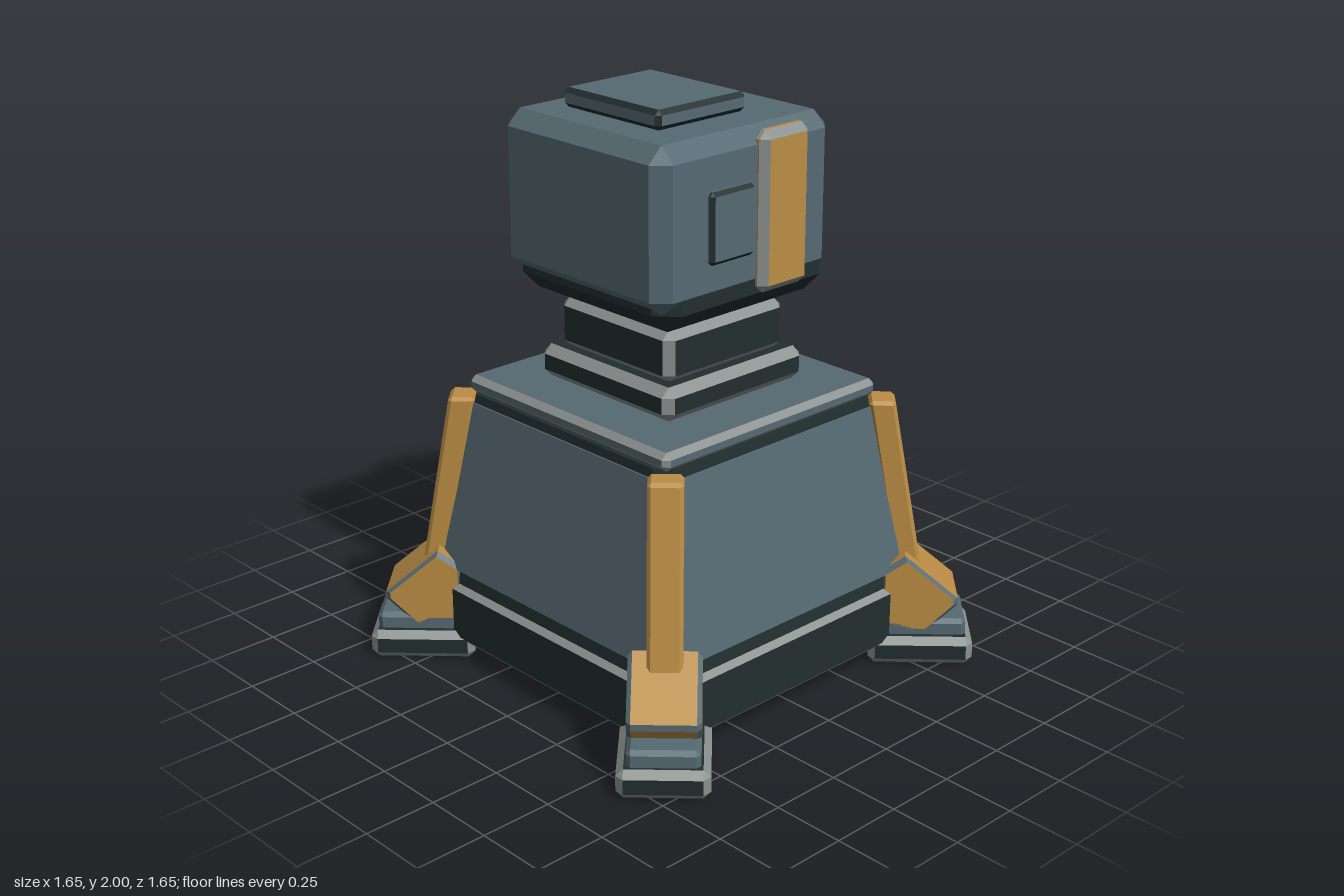
import * as THREE from 'three';
import { ConvexGeometry } from 'three/addons/geometries/ConvexGeometry.js';

const V = (x, y, z) => new THREE.Vector3(x, y, z);

function paint(name, color) {
  const m = new THREE.MeshStandardMaterial({ color });
  m.name = name;
  return m;
}

const axisAligned = n => Math.max(Math.abs(n.x), Math.abs(n.y), Math.abs(n.z)) > 0.98;

// Convex flat-sided solid; triangles whose normal passes isFace get the face colour, the rest the edge colour
function solid(name, points, face, edge = face, isFace = axisAligned) {
  const src = new ConvexGeometry(points);
  const pos = src.attributes.position, nor = src.attributes.normal;
  const lists = [[], []];
  for (let i = 0; i < pos.count; i += 3) {
    const n = V(nor.getX(i), nor.getY(i), nor.getZ(i));
    lists[isFace(n) ? 0 : 1].push(i, i + 1, i + 2);
  }
  const geo = new THREE.BufferGeometry();
  const order = lists.flat();
  const pick = a => new THREE.Float32BufferAttribute(order.flatMap(i => [a.getX(i), a.getY(i), a.getZ(i)]), 3);
  geo.setAttribute('position', pick(pos));
  geo.setAttribute('normal', pick(nor));
  geo.addGroup(0, lists[0].length, 0);
  geo.addGroup(lists[0].length, lists[1].length, 1);
  const mesh = new THREE.Mesh(geo, [face, edge]);
  mesh.name = name;
  return mesh;
}

// Corner points of a box with all edges cut by c
function boxPoints(x0, x1, y0, y1, z0, z1, c) {
  const out = [];
  for (const [x, sx] of [[x0, 1], [x1, -1]])
    for (const [y, sy] of [[y0, 1], [y1, -1]])
      for (const [z, sz] of [[z0, 1], [z1, -1]])
        out.push(
          V(x, y + sy * c, z + sz * c),
          V(x + sx * c, y, z + sz * c),
          V(x + sx * c, y + sy * c, z));
  return out;
}

// Tapered square block with cut vertical corners; each level is [y, halfWidth, cut]
function taperPoints(levels) {
  const out = [];
  for (const [y, h, c] of levels)
    for (const sx of [-1, 1])
      for (const sz of [-1, 1])
        out.push(V(sx * h, y, sz * (h - c)), V(sx * (h - c), y, sz * h));
  return out;
}

export function createModel() {
  const slate = paint('slate', 0x566a73);
  const dark = paint('charcoal', 0x222e2f);
  const ochre = paint('ochre', 0xbb8d45);
  const grey = paint('edgeGrey', 0x8b9190);

  const model = new THREE.Group();
  model.name = 'turret';
  const box = (parent, name, b, c, face, edge) => {
    const m = solid(name, boxPoints(...b, c), face, edge);
    parent.add(m);
    return m;
  };

  // Pedestal
  const pedestal = new THREE.Group();
  pedestal.name = 'pedestal';
  model.add(pedestal);
  box(pedestal, 'basePlinth', [-0.615, 0.615, 0.06, 0.28, -0.615, 0.615], 0.022, dark, grey);
  pedestal.add(solid('pedestalCore', taperPoints([[0.27, 0.597, 0.09], [0.95, 0.495, 0.06]]), dark));
  pedestal.add(solid('pedestalArmour', taperPoints([[0.33, 0.603, 0.085], [0.92, 0.505, 0.06]]), slate));
  box(pedestal, 'topSlab', [-0.487, 0.487, 0.942, 1.005, -0.487, 0.487], 0.02, slate, grey);

  // Access hatch on the sloping left wall
  const hatch = box(pedestal, 'accessHatch', [-0.04, 0.03, -0.14, 0.14, -0.155, 0.155], 0.026, slate, dark);
  hatch.position.set(0.567, 0.625, -0.08);
  hatch.rotation.z = 0.16;

  // Four corner legs, built along +z and turned to the diagonals
  const knee = [[0.72, 0.115], [0.88, 0.11], [0.985, 0.215], [0.985, 0.238], [0.80, 0.395], [0.72, 0.34]];
  for (let k = 0; k < 4; k++) {
    const leg = new THREE.Group();
    leg.name = 'cornerLeg';
    leg.rotation.y = Math.PI / 4 + k * Math.PI / 2;
    model.add(leg);

    box(leg, 'footPad', [-0.148, 0.148, 0, 0.1, 0.68, 1.04], 0.024, dark, grey);
    box(leg, 'footBlock', [-0.117, 0.117, 0.09, 0.16, 0.73, 1.015], 0.015, slate);

    // Knee block with slate edges
    const kneePoints = [];
    for (const s of [-1, 1])
      for (const [z, y] of knee) {
        kneePoints.push(V(s * 0.103, y, z));
        kneePoints.push(V(s * 0.117, 0.245 + (y - 0.245) * 0.89, 0.84 + (z - 0.84) * 0.89));
      }
    leg.add(solid('knee', kneePoints, ochre, slate,
      n => Math.abs(n.x) > 0.98 || (Math.abs(n.x) < 0.05 && n.z < 0.98)));

    // Leaning strut
    const strut = boxPoints(-0.057, 0.057, 0.3, 0.94, -0.045, 0.045, 0.012);
    strut.forEach(p => { p.z += 0.81 - (p.y - 0.35) * 0.178; });
    leg.add(solid('strut', strut, ochre));
  }

  // Neck
  box(model, 'neckCollar', [-0.315, 0.315, 1.005, 1.12, -0.315, 0.315], 0.03, dark, grey);
  box(model, 'neck', [-0.267, 0.267, 1.11, 1.29, -0.267, 0.267], 0.03, dark, grey);

  // Head: dark core showing below and on one side of the shell
  const head = new THREE.Group();
  head.name = 'head';
  model.add(head);
  box(head, 'headCore', [-0.38, 0.375, 1.32, 1.925, -0.377, 0.377], 0.068, dark);
  box(head, 'headShell', [-0.41, 0.362, 1.39, 1.93, -0.382, 0.382], 0.052, slate);
  box(head, 'roofPlate', [-0.268, 0.12, 1.935, 2, -0.228, 0.222], 0.016, slate, dark);

  // Stripe and small hatch on front and back
  for (const s of [1, -1]) {
    const span = (a, b) => s > 0 ? [a, b] : [-b, -a];
    box(head, 'stripe', [0.005, 0.222, 1.39, 1.92, ...span(0.345, 0.413)], 0.026, ochre, grey);
    box(head, 'smallHatch', [-0.21, -0.018, 1.53, 1.765, ...span(0.36, 0.402)], 0.013, slate, dark);
  }
  return model;
}
